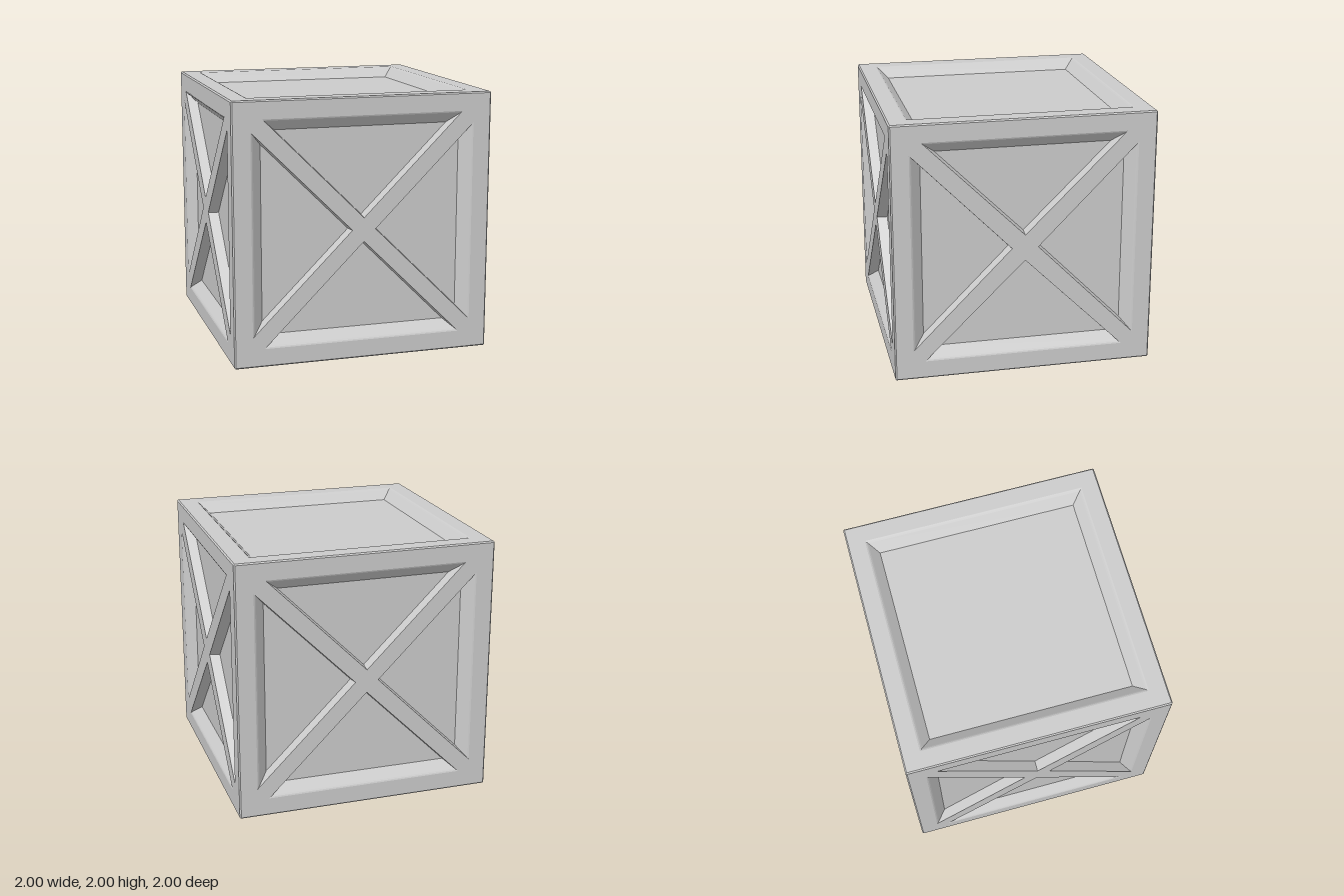
import * as THREE from 'three';

const DEPTH = 0.08;    // recess depth
const OPEN = 0.86;     // half size of the frame opening
const material = new THREE.MeshStandardMaterial({ color: 0xcccccc, flatShading: true });

// Square frame with softened rims, sloped walls and the recessed panel: a four-sided lathe
function framedPanel() {
  const profile = [
    [0.995, -0.005], [0.99, 0], [OPEN, 0], [0.85, -0.004], [0.84, -0.012],
    [0.77, -DEPTH], [0, -DEPTH],
  ].map(([r, y]) => new THREE.Vector2(r * Math.SQRT2, y));
  return new THREE.LatheGeometry(profile, 4, Math.PI / 4).rotateX(Math.PI / 2).translate(0, 0, 1);
}

// Diagonal cross, flush with the frame, with slightly flared sides
function crossBrace(notch) {
  const quarter = [[notch, 0], [OPEN, 0.77], [OPEN, OPEN], [0.77, OPEN]];
  const outline = [];
  for (let i = 0; i < 4; i++) {
    for (const [x, y] of quarter) {
      outline.push(new THREE.Vector2(x, y).rotateAround(new THREE.Vector2(), i * Math.PI / 2));
    }
  }
  const geometry = new THREE.ExtrudeGeometry(new THREE.Shape(outline), {
    depth: 0.01, bevelEnabled: true, bevelThickness: DEPTH, bevelSize: 0.01, bevelSegments: 1,
  });
  return geometry.translate(0, 0, 1 - DEPTH - 0.01);
}

export function createModel() {
  const crate = new THREE.Group();
  crate.name = 'crate';
  const panel = framedPanel();
  const braces = { wide: crossBrace(0.1), narrow: crossBrace(0.09) };

  // name, rotation about x, rotation about y, brace type
  const sides = [
    ['front', 0, 0, 'narrow'],
    ['left', 0, Math.PI / 2, 'wide'],
    ['back', 0, Math.PI, 'narrow'],
    ['right', 0, -Math.PI / 2, 'wide'],
    ['top', -Math.PI / 2, 0, null],
    ['bottom', Math.PI / 2, 0, null],
  ];
  for (const [name, rx, ry, brace] of sides) {
    const side = new THREE.Group();
    side.name = name + 'Side';
    const frame = new THREE.Mesh(panel, material);
    frame.name = name + 'FramedPanel';
    side.add(frame);
    if (brace) {
      const cross = new THREE.Mesh(braces[brace], material);
      cross.name = name + 'CrossBrace';
      side.add(cross);
    }
    side.rotation.set(rx, ry, 0);
    side.position.y = 1;
    crate.add(side);
  }
  return crate;
}
